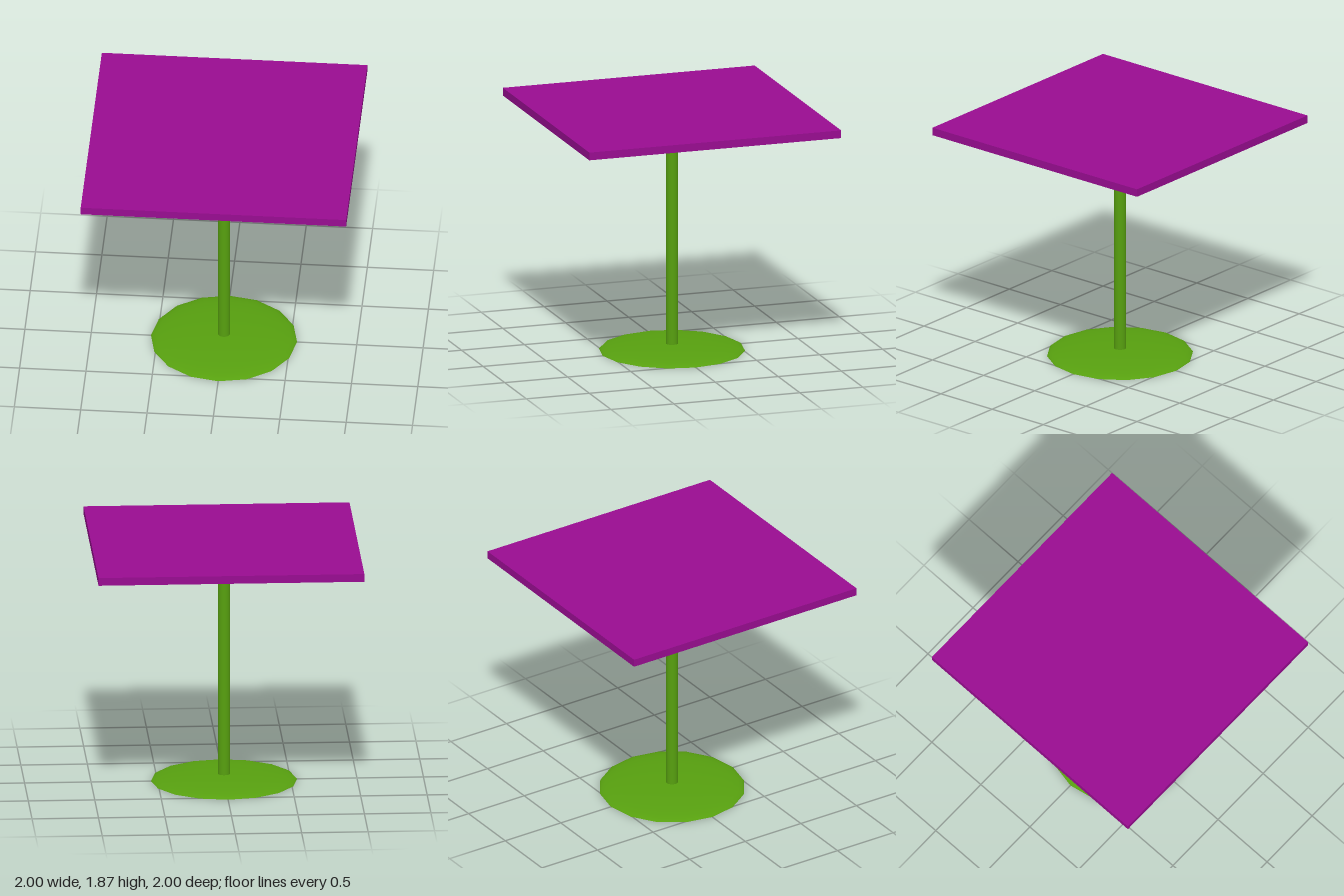
import * as THREE from 'three';

const SIDES = 16;
const BASE_RADIUS = 0.55;
const BASE_HEIGHT = 0.05;
const TOP_UNDERSIDE = 1.81;
const TOP_THICKNESS = 0.06;

export function createModel() {
  const group = new THREE.Group();
  const purple = new THREE.MeshStandardMaterial({ color: 0x990d91 });
  const green = new THREE.MeshStandardMaterial({ color: 0x57a00f });

  const add = (name, geometry, material, y, parent = group) => {
    const mesh = new THREE.Mesh(geometry, material);
    mesh.name = name;
    mesh.position.y = y;
    parent.add(mesh);
    return mesh;
  };

  // Square table top
  add('tableTop', new THREE.BoxGeometry(2, TOP_THICKNESS, 2), purple, TOP_UNDERSIDE + TOP_THICKNESS / 2);

  // Central column, from the floor to the underside of the top
  add('column', new THREE.CylinderGeometry(0.047, 0.047, TOP_UNDERSIDE, SIDES), green, TOP_UNDERSIDE / 2);

  // Shallow domed foot: half an ellipse turned about the column, closed below
  const base = new THREE.Group();
  base.name = 'base';
  group.add(base);
  const profile = [];
  for (let i = 0; i <= 8; i++) {
    const a = (i / 8) * Math.PI / 2;
    profile.push(new THREE.Vector2(BASE_RADIUS * Math.cos(a), BASE_HEIGHT * Math.sin(a)));
  }
  profile[8].x = 0;
  add('baseDome', new THREE.LatheGeometry(profile, SIDES), green, 0, base);
  add('baseUnderside', new THREE.CircleGeometry(BASE_RADIUS, SIDES).rotateX(Math.PI / 2), green, 0, base);

  return group;
}
